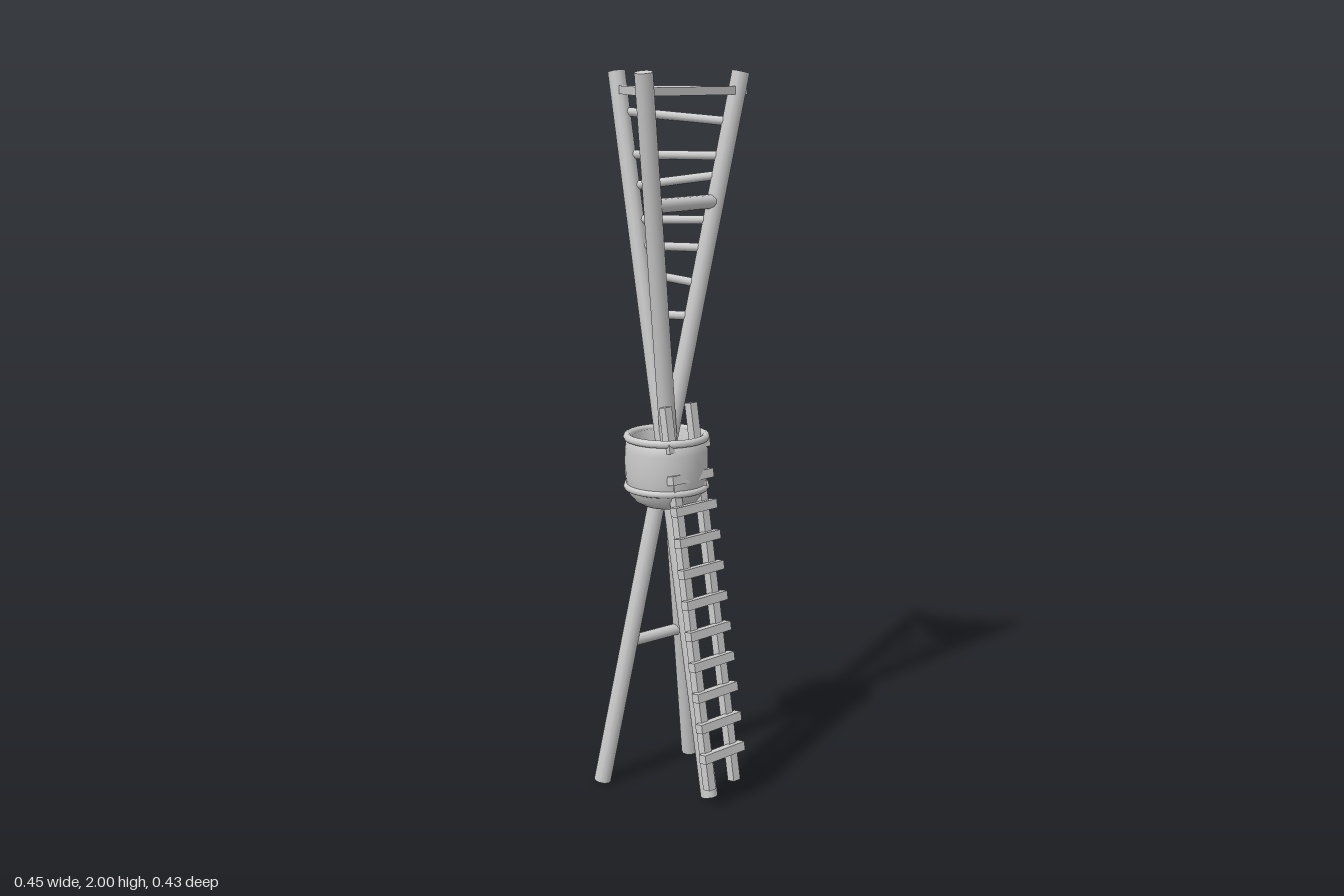
import * as THREE from 'three';

const grey = new THREE.MeshStandardMaterial({ color: 0xcccccc });
const V = (x, y, z) => new THREE.Vector3(x, y, z);

function add(parent, name, geometry) {
  const mesh = new THREE.Mesh(geometry, grey);
  mesh.name = name;
  parent.add(mesh);
  return mesh;
}

// Round bar between two points
function bar(parent, name, a, b, radius, sides = 10) {
  const mesh = add(parent, name, new THREE.CylinderGeometry(radius, radius, a.distanceTo(b), sides));
  mesh.position.copy(a).lerp(b, 0.5);
  mesh.quaternion.setFromUnitVectors(V(0, 1, 0), b.clone().sub(a).normalize());
  return mesh;
}

export function createModel() {
  const model = new THREE.Group();
  model.name = 'lookoutTower';

  // Three long poles crossing inside the basket
  const poles = [
    { name: 'poleBackRight', foot: V(0.13, 0.004, 0.087), tip: V(-0.205, 1.996, -0.107) },
    { name: 'poleBackLeft', foot: V(-0.193, 0.004, 0.085), tip: V(0.144, 1.996, -0.117) },
    { name: 'poleFront', foot: V(-0.02, 0.004, -0.194), tip: V(-0.02, 1.996, 0.192) },
  ];
  for (const p of poles) bar(model, p.name, p.foot, p.tip, 0.024);
  const at = (i, y) => poles[i].foot.clone().lerp(poles[i].tip, (y - 0.004) / 1.992);

  // Triangular platform between the pole tips
  const triangle = new THREE.Shape([
    new THREE.Vector2(-0.21, 0.117), new THREE.Vector2(-0.02, -0.195), new THREE.Vector2(0.16, 0.128),
  ]);
  const platform = add(model, 'platform',
    new THREE.ExtrudeGeometry(triangle, { depth: 0.022, bevelEnabled: false }));
  platform.rotation.x = -Math.PI / 2;
  platform.position.y = 1.936;

  // Uneven rungs between the two back poles: [height at right, height at left]
  const rungHeights = [[1.89, 1.865], [1.775, 1.775], [1.69, 1.725], [1.6, 1.605],
    [1.53, 1.53], [1.457, 1.433], [1.345, 1.345]];
  for (const [r, l] of rungHeights) bar(model, 'upperRung', at(0, r), at(1, l), 0.012, 8);

  // Braces
  bar(model, 'upperBrace', at(2, 1.655), at(1, 1.655), 0.019);
  bar(model, 'lowerBrace', at(1, 0.42), at(2, 0.42), 0.017);

  // Basket: open tub with a rounded underside and two hoops
  const basket = new THREE.Group();
  basket.name = 'basket';
  basket.position.set(-0.027, 0, -0.003);
  model.add(basket);
  const profile = [[0, 0.823], [0.068, 0.823], [0.088, 0.835], [0.105, 0.855], [0.111, 0.88],
    [0.115, 0.91], [0.116, 0.945], [0.115, 0.98], [0.111, 1.015], [0.094, 1.015],
    [0.096, 0.94], [0.09, 0.87], [0, 0.865]].map(([x, y]) => new THREE.Vector2(x, y));
  add(basket, 'tub', new THREE.LatheGeometry(profile, 32));
  for (const [name, y, R, r] of [['topHoop', 1.015, 0.109, 0.011], ['lowerHoop', 0.875, 0.11, 0.01]]) {
    const hoop = add(basket, name, new THREE.TorusGeometry(R, r, 8, 32));
    hoop.rotation.x = Math.PI / 2;
    hoop.position.y = y;
  }

  // Leaning ladder; local +z points away from the basket
  const ladder = new THREE.Group();
  ladder.name = 'ladder';
  ladder.position.copy(basket.position);
  ladder.rotation.y = Math.atan2(0.87, 0.49);
  model.add(ladder);
  const slope = 0.183 / 1.055;
  const lean = -Math.atan(slope);
  for (const side of [-1, 1]) {
    const rail = add(ladder, 'ladderRail', new THREE.BoxGeometry(0.025, 1.07, 0.025));
    rail.position.set(side * 0.047, 0.5825, 0.1395);
    rail.rotation.x = lean;
  }
  for (let i = 0; i < 11; i++) {
    const y = 0.152 + i * 0.085;
    const rung = add(ladder, 'ladderRung', new THREE.BoxGeometry(0.15, 0.025, 0.026));
    rung.position.set(0, y, 0.231 - (y - 0.055) * slope + 0.017);
    rung.rotation.x = lean;
  }

  return model;
}
